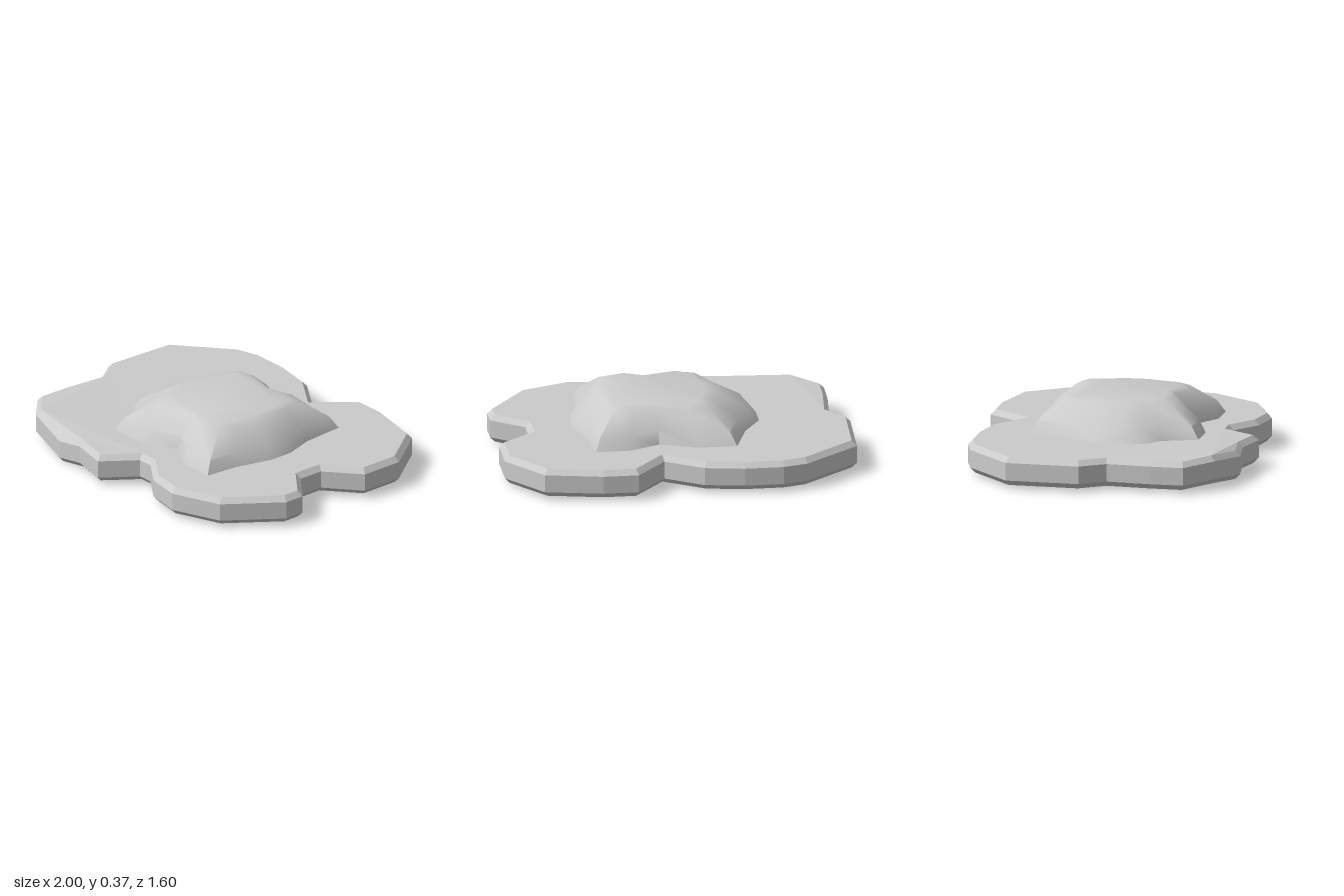
import * as THREE from 'three';
import { toCreasedNormals } from 'three/addons/utils/BufferGeometryUtils.js';

// Plan outlines as [x, z], running from the back right corner round by the left side.
const SLAB = [
  [-0.98, -0.47], [-0.67, -0.73], [-0.53, -0.77], [-0.31, -0.77], [-0.09, -0.73],
  [0.06, -0.63], [0.12, -0.59], [0.29, -0.8], [0.49, -0.8], [0.81, -0.73],
  [1, -0.47], [1, -0.22], [0.81, -0.06], [0.81, 0.09], [0.99, 0.23], [0.99, 0.35],
  [0.77, 0.65], [0.49, 0.76], [0.29, 0.725], [0.13, 0.61], [0.04, 0.61], [-0.1, 0.8],
  [-0.31, 0.75], [-0.47, 0.765], [-0.77, 0.68], [-0.93, 0.53], [-0.925, 0.34],
  [-0.9, 0.09], [-1, -0.05],
];
const MOUND_FOOT = [
  [-0.31, -0.47], [-0.09, -0.47], [0.12, -0.385], [0.29, -0.47], [0.49, -0.47],
  [0.51, -0.22], [0.565, -0.05], [0.565, 0.09], [0.51, 0.3], [0.49, 0.5],
  [0.29, 0.5], [0.12, 0.4], [-0.1, 0.5], [-0.31, 0.5], [-0.37, 0.3],
  [-0.47, 0.23], [-0.49, 0.09], [-0.49, -0.05], [-0.39, -0.22],
];
const MOUND_CROWN = [
  [-0.13, -0.24], [-0.06, -0.27], [0.12, -0.24], [0.25, -0.27], [0.33, -0.24],
  [0.35, -0.15], [0.38, -0.04], [0.38, 0.07], [0.35, 0.18], [0.33, 0.26],
  [0.23, 0.3], [0.12, 0.25], [-0.06, 0.3], [-0.13, 0.26], [-0.15, 0.2],
  [-0.17, 0.15], [-0.19, 0.07], [-0.19, -0.04], [-0.16, -0.15],
];

// Moves an outline inwards by d with mitred corners.
function inset(outline, d) {
  const n = outline.length;
  const normal = (a, b) => new THREE.Vector2(b[1] - a[1], a[0] - b[0]).normalize();
  return outline.map((p, i) => {
    const n1 = normal(outline[(i + n - 1) % n], p);
    const n2 = normal(p, outline[(i + 1) % n]);
    const k = d / (1 + n1.dot(n2));
    return [p[0] - (n1.x + n2.x) * k, p[1] - (n1.y + n2.y) * k];
  });
}

const ring = (outline, y) => outline.map(([x, z]) => new THREE.Vector3(x, y, z));

// Skins a stack of rings from bottom to top and closes both ends.
function loft(rings) {
  const n = rings[0].length;
  const index = [];
  for (let r = 0; r < rings.length - 1; r++) {
    for (let i = 0; i < n; i++) {
      const a = r * n + i, b = r * n + (i + 1) % n;
      index.push(a, a + n, b + n, a, b + n, b);
    }
  }
  const cap = (r, up) => {
    const flat = rings[r].map((p) => new THREE.Vector2(p.x, p.z));
    for (const [a, b, c] of THREE.ShapeUtils.triangulateShape(flat, [])) {
      const facesDown = THREE.ShapeUtils.area([flat[a], flat[b], flat[c]]) > 0;
      const o = r * n;
      if (facesDown === up) index.push(o + a, o + c, o + b);
      else index.push(o + a, o + b, o + c);
    }
  };
  cap(0, false);
  cap(rings.length - 1, true);
  const geometry = new THREE.BufferGeometry().setFromPoints(rings.flat());
  geometry.setIndex(index);
  geometry.computeVertexNormals();
  return geometry;
}

export function createModel() {
  const group = new THREE.Group();
  group.name = 'rockIsland';

  // Bevelled slab, slightly warped at two points on the front right rim.
  const small = inset(SLAB, 0.028);
  const slabRings = [ring(small, 0.02), ring(SLAB, 0.05), ring(SLAB, 0.15), ring(small, 0.18)];
  const warp = { 23: -0.018, 24: 0.012 };
  for (const points of slabRings) {
    for (const i in warp) points[i].y += warp[i];
  }
  const slab = new THREE.Mesh(
    loft(slabRings),
    new THREE.MeshStandardMaterial({ color: 0xcccccc, flatShading: true }),
  );
  slab.name = 'baseSlab';
  group.add(slab);

  // Lobed mound: rings blend from the foot to the flat crown.
  const blend = (t) => MOUND_FOOT.map(([x, z], i) => [
    THREE.MathUtils.lerp(x, MOUND_CROWN[i][0], t),
    THREE.MathUtils.lerp(z, MOUND_CROWN[i][1], t),
  ]);
  const steps = [[0, 0.175], [0.2, 0.25], [0.78, 0.35], [1, 0.37]];
  const mound = new THREE.Mesh(
    toCreasedNormals(loft(steps.map(([t, y]) => ring(blend(t), y))), 0.75),
    new THREE.MeshStandardMaterial({ color: 0xcccccc }),
  );
  mound.name = 'mound';
  group.add(mound);

  return group;
}
